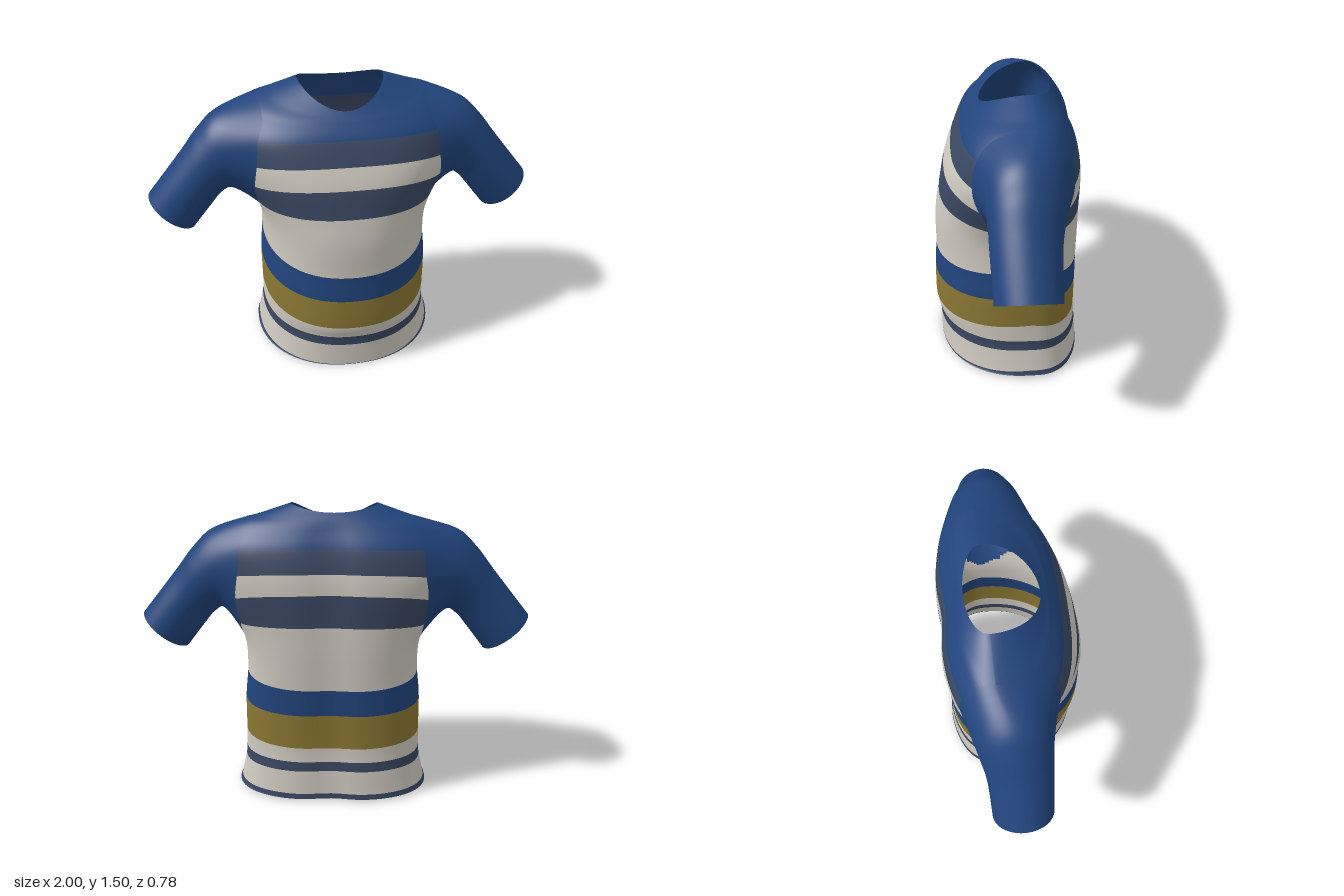
import * as THREE from 'three';

const mat = (name, color) => {
  const m = new THREE.MeshStandardMaterial({ color, side: THREE.DoubleSide });
  m.name = name;
  return m;
};

// Smooth interpolation through four equally spaced values
const spline = (a, b, c, d, t) => {
  const u = (c - a) / 2, v = (d - b) / 2;
  return b + u * t + (3 * (c - b) - 2 * u - v) * t * t + (2 * (b - c) + u + v) * t * t * t;
};

// Row of values at fraction t of the way from row i to row i + 1
function between(rows, i, t) {
  const last = rows.length - 1;
  const [p, q, r, s] = [i - 1, i, i + 1, i + 2].map((k) => rows[Math.max(0, Math.min(last, k))]);
  return q.map((_, k) => spline(p[k], q[k], r[k], s[k], t));
}

// Closed rings joined into one smooth skin; one geometry group per band
function skin(rings, perBand, bandMaterials, { flip = false, skip = () => false } = {}) {
  const n = rings[0].length, index = [];
  const geo = new THREE.BufferGeometry();
  bandMaterials.forEach((material, band) => {
    const start = index.length;
    for (let j = band * perBand; j < (band + 1) * perBand; j++) {
      for (let i = 0; i < n; i++) {
        if (skip(j, i)) continue;
        const a = j * n + i, b = j * n + (i + 1) % n, c = a + n, d = b + n;
        if (flip) index.push(a, b, c, b, d, c);
        else index.push(a, c, b, b, c, d);
      }
    }
    geo.addGroup(start, index.length - start, material);
  });
  geo.setAttribute('position', new THREE.Float32BufferAttribute(rings.flat(2), 3));
  geo.setIndex(index);
  geo.computeVertexNormals();
  return geo;
}

// Torso rows: y at front, side, back; front z, side x, back z; front and back squareness
const rows = [
  [0.0, 0.02, 0.012, 0.37, 0.505, -0.388, 2.2, 2.6],
  [0.003, 0.046, 0.04, 0.37, 0.495, -0.385, 2.2, 2.6],
  [0.145, 0.17, 0.165, 0.37, 0.468, -0.375, 2.2, 2.6],
  [0.205, 0.23, 0.215, 0.375, 0.463, -0.37, 2.2, 2.6],
  [0.28, 0.335, 0.29, 0.39, 0.46, -0.365, 2.2, 2.6],
  [0.455, 0.515, 0.47, 0.385, 0.457, -0.363, 2.2, 2.6],
  [0.6, 0.67, 0.605, 0.375, 0.442, -0.362, 2.2, 2.6],
  [0.78, 0.81, 0.78, 0.37, 0.445, -0.362, 2.2, 2.6],
  [0.93, 0.9, 0.93, 0.345, 0.48, -0.358, 2.3, 2.6],
  [1.075, 0.99, 1.09, 0.315, 0.535, -0.352, 2.5, 2.7],
  [1.18, 1.11, 1.19, 0.275, 0.565, -0.34, 2.7, 2.8],
  [1.295, 1.27, 1.305, 0.225, 0.57, -0.312, 2.7, 2.8],
  [1.36, 1.405, 1.385, 0.175, 0.49, -0.27, 2.4, 2.5],
  [1.385, 1.452, 1.435, 0.15, 0.36, -0.24, 2.15, 2.2],
  [1.405, 1.5, 1.465, 0.13, 0.215, -0.215, 2, 2],
];
const SEAM_Z = -0.115;

// Point on the torso at row position t and angle a, measured from its left side
function torsoPoint(t, a) {
  const i = Math.min(Math.floor(t), rows.length - 2);
  const row = between(rows, i, t - i);
  for (let k = 0; k < 3; k++) row[k] = THREE.MathUtils.clamp(row[k], rows[i][k], rows[i + 1][k]);
  const [yF, yS, yB, zF, xS, zB, nF, nB] = row;
  const body = THREE.MathUtils.clamp((nB - 2) * 2, 0, 1);
  const c = Math.cos(a), s = Math.sin(a), front = s >= 0, power = 2 / (front ? nF : nB);
  const u = Math.sign(c) * Math.abs(c) ** power, depth = Math.abs(s) ** power;
  // shallow hollow down the spine
  const spine = front ? 1 : 1 + body * (0.05 - 0.08 * Math.exp(-((u * xS / 0.12) ** 2))) * Math.abs(s);
  const z = SEAM_Z + depth * ((front ? zF : zB) - SEAM_Z) * spine;
  // stripes climb evenly towards the side seams; the neckline follows a curve
  const sideways = THREE.MathUtils.lerp(u * u, 1 - depth, body);
  return [u * xS + 0.01 * body, THREE.MathUtils.lerp(front ? yF : yB, yS, sideways), z];
}

// Armhole: a loop on the torso, wider towards the shoulder
const HOLE_ROW = 9.85, HOLE_SPAN = 2.75;
const holeWidth = (cos) => 0.72 + 0.4 * cos;

export function createModel() {
  const group = new THREE.Group();
  const materials = [
    mat('royal blue', 0x21447c), mat('off white', 0xcfcac0),
    mat('slate', 0x3a4863), mat('olive gold', 0x8b7733),
  ];
  const BLUE = 0, WHITE = 1, SLATE = 2, GOLD = 3;
  const bands = [SLATE, WHITE, SLATE, WHITE, GOLD, BLUE, WHITE, WHITE,
    SLATE, WHITE, SLATE, BLUE, BLUE, BLUE];

  // Torso with both armholes left open
  const STEPS = 8, AROUND = 160;
  const torsoRings = [];
  for (let j = 0; j <= bands.length * STEPS; j++) {
    torsoRings.push(Array.from({ length: AROUND }, (_, k) => torsoPoint(j / STEPS, (k / AROUND) * Math.PI * 2)));
  }
  const inHole = (j, i) => {
    const cos = (j / STEPS - HOLE_ROW) / HOLE_SPAN;
    if (Math.abs(cos) >= 1) return false;
    const fromSide = Math.abs(Math.asin(Math.sin((i / AROUND) * Math.PI * 2)));
    return fromSide < holeWidth(cos) * Math.sqrt(1 - cos * cos);
  };
  const skip = (j, i) => inHole(j, i) && inHole(j + 1, i) && inHole(j, i + 1) && inHole(j + 1, i + 1);
  const torso = new THREE.Mesh(skin(torsoRings, STEPS, bands, { skip }), materials);
  torso.name = 'torso';
  group.add(torso);

  // Sleeve sections from shoulder to cuff: top x, y; underside x, y; back z, front z
  const sections = [
    [0.615, 1.368, 0.56, 0.955, -0.25, 0.13],
    [0.72, 1.275, 0.625, 0.935, -0.225, 0.115],
    [0.82, 1.15, 0.69, 0.86, -0.205, 0.11],
    [1.0, 0.93, 0.78, 0.745, -0.2, 0.1],
  ];
  const RINGS = 8, SIDES = 72;
  const loop = (point) => Array.from({ length: SIDES }, (_, k) => {
    const b = (k / SIDES) * Math.PI * 2;
    return point(Math.cos(b), Math.sin(b));
  });
  for (const side of [1, -1]) {
    const onTorso = (scale) => loop((cos, sin) => {
      const a = holeWidth(cos) * sin * scale;
      return torsoPoint(HOLE_ROW + HOLE_SPAN * cos * scale, side > 0 ? a : Math.PI - a);
    });
    const tube = sections.map(([tx, ty, bx, by, z0, z1]) => loop((cos, sin) => [
      side * THREE.MathUtils.lerp(bx, tx, (1 + cos) / 2),
      THREE.MathUtils.lerp(by, ty, (1 + cos) / 2),
      (z0 + z1) / 2 + sin * (z1 - z0) / 2,
    ]));
    // the wider loop only steers the sleeve to leave the torso smoothly
    const keys = [onTorso(1.25), onTorso(1), ...tube].map((ring) => ring.flat());
    const rings = [];
    for (let j = 0; j <= sections.length * RINGS; j++) {
      const i = Math.min(Math.floor(j / RINGS), sections.length - 1);
      const flat = between(keys, i + 1, j / RINGS - i);
      rings.push(Array.from({ length: SIDES }, (_, k) => flat.slice(k * 3, k * 3 + 3)));
    }
    const geo = skin(rings, RINGS, sections.map(() => BLUE), { flip: side > 0 });
    geo.clearGroups();
    const sleeve = new THREE.Mesh(geo, materials[BLUE]);
    sleeve.name = side > 0 ? 'leftSleeve' : 'rightSleeve';
    group.add(sleeve);
  }
  return group;
}
